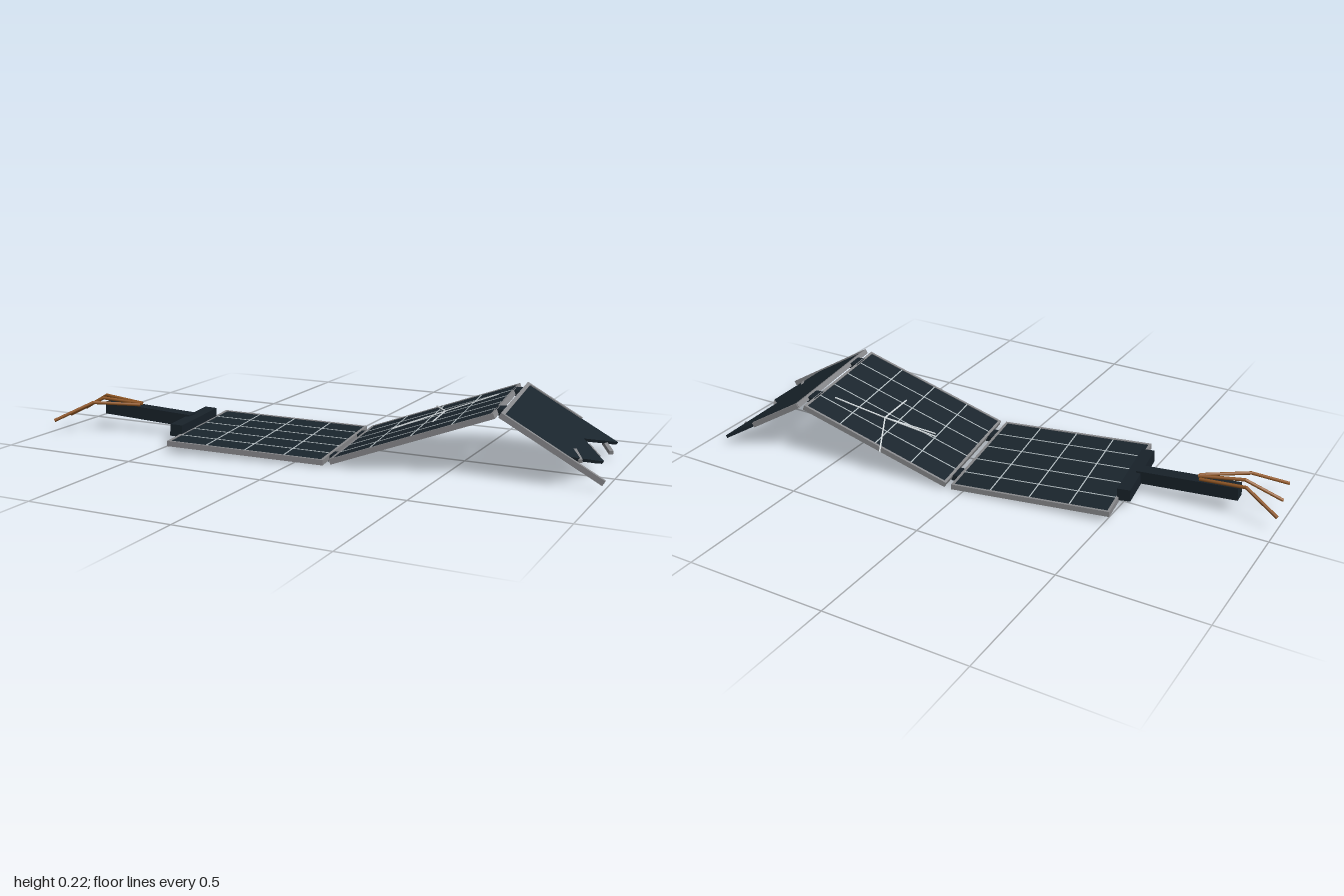
import * as THREE from 'three';

const mat = (name, color) => {
  const m = new THREE.MeshStandardMaterial({ color });
  m.name = name;
  return m;
};

export function createModel() {
  const cell = mat('dark cell', 0x1a252d);
  const dark = mat('dark fitting', 0x18222a);
  const frame = mat('frame grey', 0x88898c);
  const line = mat('pale line', 0xb4bec2);
  const crackWhite = mat('crack white', 0xd4dadd);
  const copper = mat('copper wire', 0x8f5522);

  const model = new THREE.Group();
  model.name = 'brokenSolarArray';
  const array = new THREE.Group();
  array.name = 'panelArray';
  array.rotation.y = 0.135;
  model.add(array);

  const add = (parent, geo, material, name, x = 0, y = 0, z = 0) => {
    const m = new THREE.Mesh(geo, material);
    m.name = name;
    m.position.set(x, y, z);
    parent.add(m);
    return m;
  };
  const box = (parent, name, material, [w, h, d], [x, y, z]) =>
    add(parent, new THREE.BoxGeometry(w, h, d), material, name, x, y, z);

  // Box or round bar running between two points of its parent
  const up = new THREE.Vector3(0, 1, 0);
  const beam = (parent, name, material, a, b, w, h, round = false) => {
    const p = new THREE.Vector3(...a), q = new THREE.Vector3(...b);
    const len = p.distanceTo(q);
    const geo = round
      ? new THREE.CylinderGeometry(w, w, len, 8).rotateX(Math.PI / 2)
      : new THREE.BoxGeometry(w, h, len);
    const m = add(parent, geo, material, name);
    m.position.copy(p).lerp(q, 0.5);
    m.quaternion.setFromRotationMatrix(new THREE.Matrix4().lookAt(q, p, up));
  };

  const midZ = 0.03;

  // Group lying along a sloped line from (x0, y0) to (x1, y1)
  const slope = (name, x0, y0, x1, y1) => {
    const g = new THREE.Group();
    g.name = name;
    g.position.set(x0, y0, midZ);
    g.rotation.z = Math.atan2(y1 - y0, x1 - x0);
    array.add(g);
    return [g, Math.hypot(x1 - x0, y1 - y0)];
  };

  // Whole panel: back plate, cells, rails and grid lines
  const panel = (name, width, ...ends) => {
    const [g, len] = slope(name, ...ends);
    const r = 0.009;
    box(g, 'backPlate', frame, [len, 0.008, width], [len / 2, -0.005, 0]);
    box(g, 'cells', cell, [len - r, 0.008, width - r], [len / 2, 0.003, 0]);
    for (const s of [-1, 1]) {
      box(g, 'sideRail', frame, [len, 0.017, r], [len / 2, 0.001, s * (width - r) / 2]);
      box(g, 'endRail', frame, [r, 0.017, width - 2 * r], [len / 2 + s * (len - r) / 2, 0.001, 0]);
    }
    const cols = 4, rows = 5, t = 0.004;
    for (let i = 1; i < cols; i++)
      box(g, 'gridLine', line, [t, 0.002, width - 2 * r], [len * i / cols, 0.0075, 0]);
    for (let i = 1; i < rows; i++)
      box(g, 'gridLine', line, [len - 2 * r, 0.002, t], [len / 2, 0.0075, (i / rows - 0.5) * width]);
    return g;
  };

  const root = panel('rootPanel', 0.507, -0.49, 0.034, 0.07, 0.014);
  root.position.z += 0.003;
  const middle = panel('middlePanel', 0.502, 0.092, 0.017, 0.628, 0.21);

  // Cracks lying just above the middle panel
  const cracks = [
    [[0.249, -0.278], [0.329, -0.086], [0.322, 0.074]],
    [[0.14, -0.04], [0.329, -0.086], [0.517, -0.123]],
    [[0.15, -0.025], [0.329, -0.086]],
  ];
  for (const c of cracks)
    for (let i = 1; i < c.length; i++) {
      const [a, b] = [c[i - 1], c[i]];
      beam(middle, 'crack', crackWhite, [a[0], 0.01, a[1]], [b[0], 0.01, b[1]], 0.005, 0.003);
    }

  // Torn end panel with a jagged lower edge
  const [torn, tornLen] = slope('tornPanel', 0.648, 0.214, 0.97, 0.025);
  const outline = [[0, -0.25], [0.367, -0.252], [0.258, -0.043], [0.347, 0.054], [0.335, 0.08], [0.235, 0.25], [0, 0.25]];
  const shape = new THREE.Shape(outline.map(([x, z]) => new THREE.Vector2(x, z)));
  const tornGeo = new THREE.ExtrudeGeometry(shape, { depth: 0.011, bevelEnabled: false });
  tornGeo.rotateX(Math.PI / 2);
  add(torn, tornGeo, cell, 'tornCells', 0, 0.006, 0);
  const rail = 0.013;
  box(torn, 'topRail', frame, [rail, 0.018, 0.51], [0.004, 0.001, 0]);
  box(torn, 'longRail', frame, [tornLen, 0.018, rail], [tornLen / 2, 0.001, 0.251]);
  box(torn, 'brokenRail', frame, [0.222, 0.018, rail], [0.111, 0.001, -0.251]);

  // Snapped ribs poking out of the torn edge
  beam(model, 'brokenRib', frame, [0.895, 0.042, -0.29], [0.935, 0.026, -0.225], 0.014, 0.014);
  beam(model, 'brokenRib', frame, [0.88, 0.068, -0.122], [0.928, 0.048, -0.065], 0.014, 0.014);
  beam(model, 'brokenRib', frame, [0.876, 0.09, 0.038], [0.911, 0.072, 0.094], 0.013, 0.013);

  // Hinge blocks between the panels
  for (const s of [-1, 1]) {
    box(array, 'lowerHinge', dark, [0.034, 0.02, 0.06], [0.081, 0.011, midZ + s * 0.156]);
    box(array, 'upperHinge', dark, [0.036, 0.02, 0.06], [0.637, 0.208, midZ + s * 0.156]);
  }

  // Root bracket and boom
  const bracket = box(array, 'rootBracket', dark, [0.045, 0.042, 0.297], [-0.506, 0.054, midZ + 0.002]);
  bracket.rotation.z = -0.05;
  beam(model, 'boom', dark, [-0.853, 0.08, 0.123], [-0.505, 0.059, 0.1], 0.047, 0.045);

  // Frayed wires at the broken boom end
  const wires = [
    [[-0.72, 0.1, 0.1], [-0.88, 0.115, 0.098], [-0.998, 0.052, 0.072]],
    [[-0.71, 0.102, 0.115], [-0.86, 0.115, 0.145], [-0.98, 0.05, 0.19]],
    [[-0.71, 0.1, 0.128], [-0.86, 0.11, 0.208], [-0.963, 0.052, 0.305]],
  ];
  for (const w of wires) {
    for (let i = 1; i < 3; i++) beam(model, 'wire', copper, w[i - 1], w[i], 0.006, 0, true);
    add(model, new THREE.SphereGeometry(0.006, 8, 6), copper, 'wireBend', ...w[1]);
  }

  return model;
}
